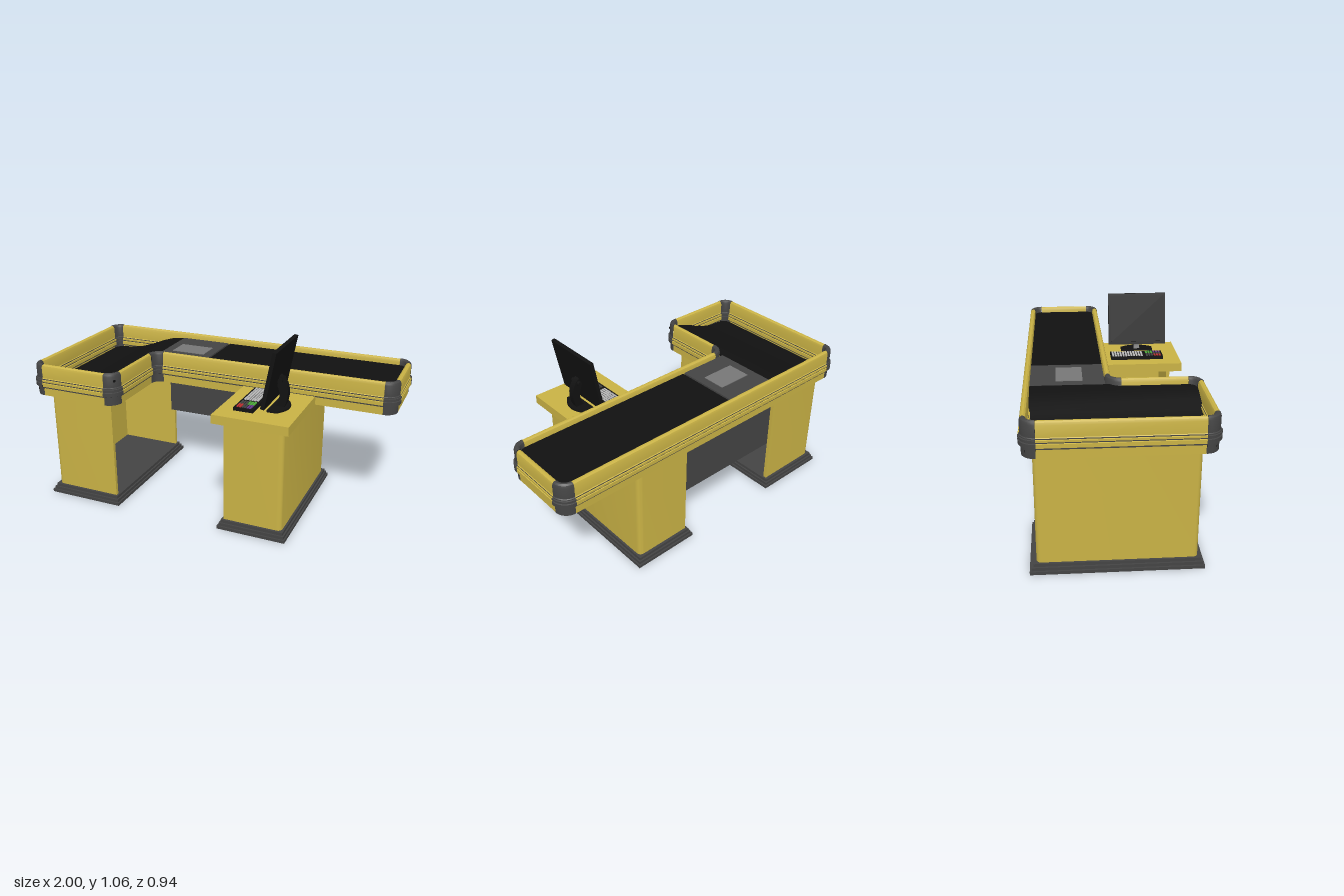
import * as THREE from 'three';
import { toCreasedNormals } from 'three/addons/utils/BufferGeometryUtils.js';

const mat = (color) => new THREE.MeshStandardMaterial({ color, side: THREE.DoubleSide });

export function createModel() {
  const root = new THREE.Group();
  root.name = 'checkoutCounter';
  const yellow = mat(0xc9b245), grey = mat(0x444444), black = mat(0x111111), glass = mat(0x777777);
  const HALF = Math.PI / 2;

  const add = (name, geo, material, x = 0, y = 0, z = 0, parent = root) => {
    const m = new THREE.Mesh(geo, material);
    m.name = name;
    m.position.set(x, y, z);
    parent.add(m);
    return m;
  };
  // box given by its limits on each axis
  const box = (name, [x0, x1], [y0, y1], [z0, z1], material, parent = root) =>
    add(name, new THREE.BoxGeometry(x1 - x0, y1 - y0, z1 - z0), material,
      (x0 + x1) / 2, (y0 + y1) / 2, (z0 + z1) / 2, parent);
  const extrude = (shape, depth) => toCreasedNormals(
    new THREE.ExtrudeGeometry(shape, { depth, bevelEnabled: false, curveSegments: 6 }), 0.6);

  // Rim cross-section: [outward offset, height], ridged belt in the middle, rounded top
  const outer = [[-0.012, 0.65], [-0.012, 0.697], [-0.006, 0.697], [-0.006, 0.703], [0, 0.706], [0, 0.726],
    [-0.005, 0.728], [-0.005, 0.733], [0, 0.735], [0, 0.745], [-0.005, 0.747], [-0.005, 0.752], [-0.009, 0.755],
    [-0.009, 0.815], [-0.013, 0.827], [-0.021, 0.833]];
  const profile = [...outer, ...outer.map(([d, y]) => [-0.05 - d, y]).reverse()];
  const railShape = new THREE.Shape(profile.map(([d, y]) => new THREE.Vector2(d, y)));
  const grooves = [[0.697, 0.703, -0.0055], [0.728, 0.733, -0.0045], [0.747, 0.752, -0.0045]];

  // Straight rims; the outside lies on the left of the travel direction
  const rail = (name, x0, z0, x1, z1) => {
    const g = new THREE.Group();
    g.name = name;
    const len = Math.hypot(x1 - x0, z1 - z0);
    g.position.set(x0, 0, z0);
    g.rotation.y = Math.atan2(x1 - x0, z1 - z0);
    add('rimBody', extrude(railShape, len - 0.004), yellow, 0, 0, 0.002, g);
    for (const [y0, y1, d] of grooves)
      box('rimGroove', [-0.05 - d, d], [y0, y1], [0.002, len - 0.002], grey, g);
    root.add(g);
  };
  rail('backRim', -0.92, -0.47, 0.92, -0.47);
  rail('rightEndRim', 1, -0.39, 1, -0.08);
  rail('frontRim', 0.92, 0, -0.4, 0);
  rail('wingInnerRim', -0.44, 0.04, -0.44, 0.39);
  rail('wingFrontRim', -0.52, 0.47, -0.92, 0.47);
  rail('leftRim', -1, 0.39, -1, -0.39);

  // Corner caps sweep the same section, slightly enlarged
  const corner = (name, x, z, quarter, radius, sign) => {
    const pts = profile.map(([d, y]) => new THREE.Vector2(
      radius + sign * (-0.025 + (d + 0.025) * 1.08), y + (y > 0.8 ? 0.002 : 0)));
    pts.push(pts[0].clone());
    if (sign < 0) pts.reverse();
    add(name, toCreasedNormals(new THREE.LatheGeometry(pts, 8, quarter * HALF, HALF), 0.6), grey, x, 0, z);
  };
  corner('backLeftCorner', -0.92, -0.39, 2, 0.08, 1);
  corner('backRightCorner', 0.92, -0.39, 1, 0.08, 1);
  corner('frontRightCorner', 0.92, -0.08, 0, 0.08, 1);
  corner('wingRightCorner', -0.52, 0.39, 0, 0.08, 1);
  corner('wingLeftCorner', -0.92, 0.39, 3, 0.08, 1);
  corner('insideCorner', -0.4, 0.04, 2, 0.04, -1);

  // Conveyor, scanner plate and sloping bagging tray
  box('conveyorBelt', [-0.14, 0.965], [0.785, 0.8], [-0.435, -0.04], black);
  box('scannerPlate', [-0.46, -0.15], [0.785, 0.801], [-0.435, -0.04], grey);
  box('scannerGlass', [-0.405, -0.2], [0.8, 0.804], [-0.295, -0.155], glass);
  const tray = new THREE.Shape();
  tray.moveTo(-0.46, 0.8);
  tray.bezierCurveTo(-0.62, 0.8, -0.7, 0.685, -0.97, 0.685);
  tray.lineTo(-0.97, 0.675);
  tray.bezierCurveTo(-0.71, 0.675, -0.63, 0.788, -0.46, 0.788);
  add('baggingTray', extrude(tray, 0.88), black, 0, 0, -0.44);

  // Pedestals: U-shaped shells open towards each other on stepped plinths
  const pedestal = (name, closedX, openX) => {
    const g = new THREE.Group();
    g.name = name;
    const s = Math.sign(openX - closedX), r = 0.03, t = 0.02;
    const zF = -0.39, zB = 0.41; // shape y is -z
    const u = new THREE.Shape();
    u.moveTo(openX, zF);
    u.lineTo(closedX + s * r, zF);
    u.quadraticCurveTo(closedX, zF, closedX, zF + r);
    u.lineTo(closedX, zB - r);
    u.quadraticCurveTo(closedX, zB, closedX + s * r, zB);
    u.lineTo(openX, zB);
    u.lineTo(openX, zB - t);
    u.lineTo(closedX + s * t, zB - t);
    u.lineTo(closedX + s * t, zF + t);
    u.lineTo(openX, zF + t);
    add('pedestalShell', extrude(u, 0.605).rotateX(-HALF), yellow, 0, 0.05, 0, g);
    const x0 = Math.min(closedX, openX), x1 = Math.max(closedX, openX);
    for (let i = 0; i < 3; i++) {
      const o = 0.03 - i * 0.009;
      box('plinthStep', [x0 - o, x1 + o], [i * 0.017, (i + 1) * 0.017], [-0.413 - o, 0.392 + o], grey, g);
    }
    root.add(g);
  };
  pedestal('leftPedestal', -0.925, -0.525);
  pedestal('rightPedestal', 0.503, 0.165);
  box('modestyPanel', [-0.54, 0.18], [0.31, 0.66], [-0.39, -0.37], grey);

  // Cashier's side table
  box('sideTable', [0.12, 0.545], [0.65, 0.7], [-0.012, 0.455], yellow);

  // Keyboard with small keys
  const keyboard = new THREE.Group();
  keyboard.name = 'keyboard';
  root.add(keyboard);
  box('keyboardBody', [0.205, 0.315], [0.7, 0.718], [0.04, 0.355], black, keyboard);
  const white = mat(0xbbbbbb), green = mat(0x4fae3c), red = mat(0xc03030), purple = mat(0x6a3a90);
  for (let row = 0; row < 6; row++)
    for (let col = 0; col < 19; col++) {
      if (col === 12) continue;
      let m = white;
      if (col > 12) m = row > 3 && col > 15 ? purple : row > 2 && col < 16 ? green : row < 2 && col > 15 ? red : grey;
      const x = 0.218 + row * 0.0145, z = 0.048 + col * 0.0158;
      box('key', [x, x + 0.01], [0.717, 0.723], [z, z + 0.011], m, keyboard);
    }

  // Monitor leaning back, screen towards the cashier
  const monitor = new THREE.Group();
  monitor.name = 'monitor';
  monitor.position.set(0.372, 0.745, 0.2125);
  monitor.rotation.z = -0.19;
  root.add(monitor);
  box('monitorCase', [0, 0.016], [0, 0.315], [-0.177, 0.177], black, monitor);
  const bezel = new THREE.Shape();
  const rect = (p, w, y0, y1) => p.moveTo(-w, y0).lineTo(w, y0).lineTo(w, y1).lineTo(-w, y1).closePath();
  rect(bezel, 0.177, 0, 0.315);
  const opening = new THREE.Path();
  rect(opening, 0.163, 0.018, 0.301);
  bezel.holes.push(opening);
  add('bezel', extrude(bezel, 0.005).rotateY(-HALF), black, 0, 0, 0, monitor);

  // Curved stand arm, hinge and half-round foot
  const arm = new THREE.Shape();
  arm.moveTo(0.405, 0.89);
  arm.bezierCurveTo(0.475, 0.86, 0.475, 0.76, 0.44, 0.7);
  arm.lineTo(0.385, 0.7);
  arm.bezierCurveTo(0.43, 0.74, 0.42, 0.8, 0.4, 0.83);
  add('standArm', extrude(arm, 0.036), black, 0, 0, 0.1945);
  add('standHinge', new THREE.CylinderGeometry(0.014, 0.014, 0.07, 12).rotateX(HALF), black, 0.42, 0.855, 0.2125);
  const foot = new THREE.Shape();
  foot.moveTo(0.375, -0.31);
  foot.lineTo(0.43, -0.31);
  foot.quadraticCurveTo(0.515, -0.2125, 0.43, -0.115);
  foot.lineTo(0.375, -0.115);
  add('standFoot', extrude(foot, 0.01).rotateX(-HALF), black, 0, 0.7, 0);

  return root;
}
